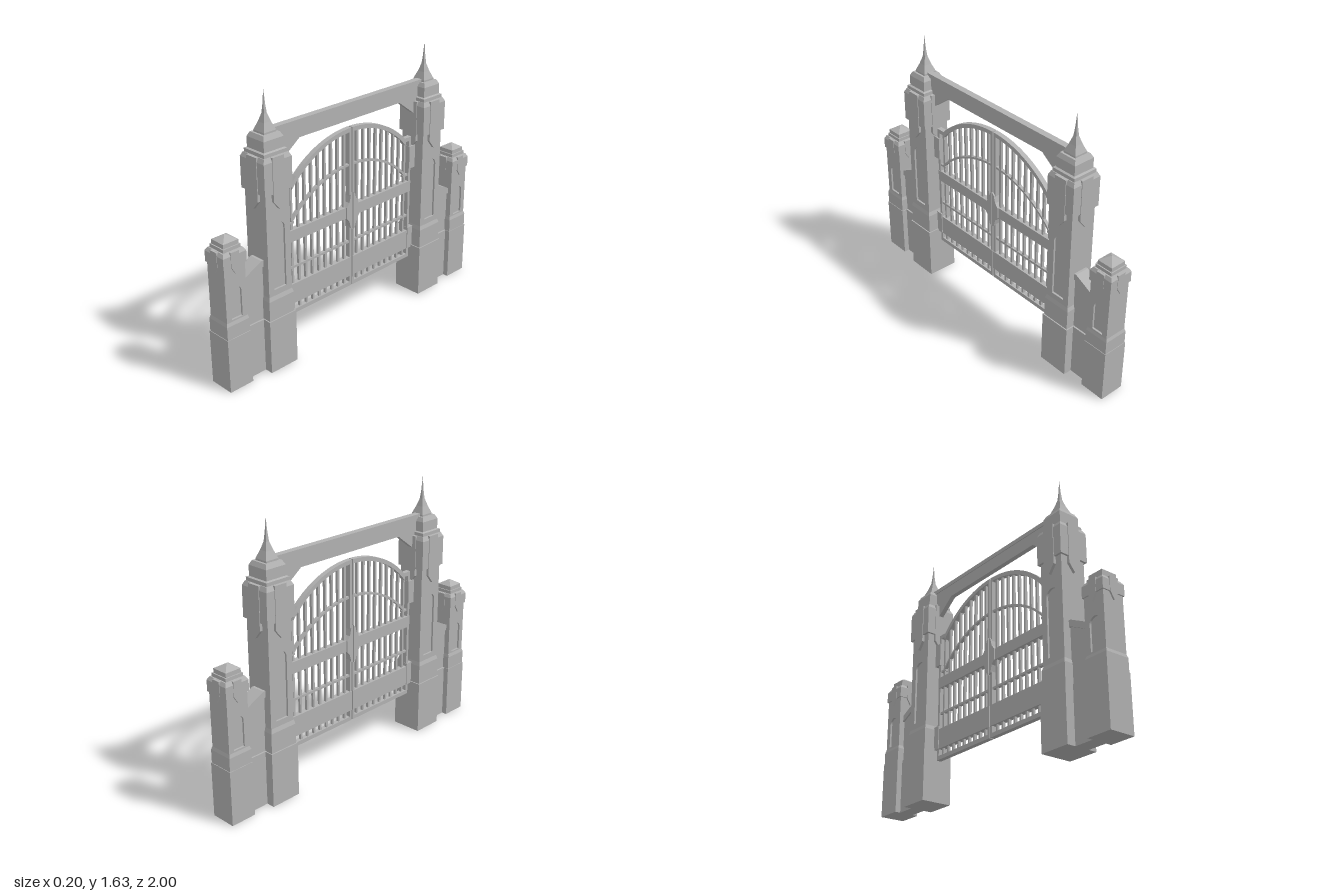
import * as THREE from 'three';

const stone = new THREE.MeshStandardMaterial({ color: 0xb2b2b2, flatShading: true });
stone.name = 'grey';

function add(parent, name, geometry) {
  const mesh = new THREE.Mesh(geometry, stone);
  mesh.name = name;
  parent.add(mesh);
  return mesh;
}

// Box given by its centre line x = 0, thickness, and z / y ranges
function bar(parent, name, thick, z0, z1, y0, y1) {
  const g = new THREE.BoxGeometry(thick, y1 - y0, Math.abs(z1 - z0));
  g.translate(0, (y0 + y1) / 2, (z0 + z1) / 2);
  return add(parent, name, g);
}

// Square turned profile from [halfWidth, y] pairs
function square(parent, name, profile) {
  const pts = profile.map(([r, y]) => new THREE.Vector2(r * Math.SQRT2, y));
  return add(parent, name, new THREE.LatheGeometry(pts, 4, Math.PI / 4));
}

const polygon = (pts) => new THREE.Shape(pts.map(([a, b]) => new THREE.Vector2(a, b)));

// Outline in (z, y) extruded symmetrically along x
function slab(parent, name, pts, thick) {
  const g = new THREE.ExtrudeGeometry(polygon(pts), { depth: thick, bevelEnabled: false });
  g.translate(0, 0, -thick / 2);
  g.rotateY(-Math.PI / 2);
  return add(parent, name, g);
}

// Plate lying on one side of a tower, from distance d0 to d1 off its axis
function plate(parent, name, shape, d0, d1, angle) {
  const g = new THREE.ExtrudeGeometry(shape, { depth: d1 - d0, bevelEnabled: false, curveSegments: 8 });
  g.translate(0, 0, d0);
  g.rotateY(angle);
  return add(parent, name, g);
}

// Shaft with an arched recess on its two broad sides
function shaft(parent, half, y0, y1, archHalf, archBottom, archTop) {
  const depth = 0.012;
  const core = new THREE.BoxGeometry(2 * (half - depth), y1 - y0, 2 * half);
  core.translate(0, (y0 + y1) / 2, 0);
  add(parent, 'shaftCore', core);
  const shape = polygon([[-half, y0], [half, y0], [half, y1], [-half, y1]]);
  const hole = new THREE.Path();
  hole.moveTo(-archHalf, archBottom);
  hole.lineTo(-archHalf, archTop - archHalf);
  hole.absarc(0, archTop - archHalf, archHalf, Math.PI, 0, true);
  hole.lineTo(archHalf, archBottom);
  hole.closePath();
  shape.holes.push(hole);
  for (const a of [Math.PI / 2, -Math.PI / 2]) plate(parent, 'archedPanel', shape, half - depth, half, a);
}

// Pointed shield on each of the four sides
function shields(parent, half, top, shoulder, tip, d0, d1) {
  const shape = polygon([[-half, top], [-half, shoulder], [0, tip], [half, shoulder], [half, top]]);
  for (let i = 0; i < 4; i++) plate(parent, 'pointedShield', shape, d0, d1, i * Math.PI / 2);
}

function mainTower() {
  const t = new THREE.Group();
  t.name = 'mainTower';
  square(t, 'plinth', [[0, 0], [0.097, 0], [0.097, 0.33], [0.09, 0.33], [0.09, 0.45], [0.083, 0.475], [0, 0.475]]);
  shaft(t, 0.083, 0.47, 1.27, 0.043, 0.51, 0.91);
  square(t, 'head', [[0.08, 1.085], [0.096, 1.085], [0.096, 1.265], [0.084, 1.29], [0.08, 1.29], [0.08, 1.31],
    [0.068, 1.315], [0.068, 1.375], [0.055, 1.40], [0.042, 1.40], [0.042, 1.41], [0, 1.41]]);
  shields(t, 0.04, 1.29, 1.04, 0.99, 0.08, 0.1);
  square(t, 'spire', [[0.042, 1.41], [0.024, 1.455], [0.01, 1.50], [0.005, 1.55], [0, 1.635]]);
  return t;
}

function smallTower() {
  const t = new THREE.Group();
  t.name = 'smallTower';
  square(t, 'plinth', [[0, 0], [0.079, 0], [0.079, 0.33], [0.076, 0.33], [0.076, 0.41], [0.07, 0.43], [0, 0.43]]);
  shaft(t, 0.07, 0.425, 0.82, 0.037, 0.44, 0.63);
  square(t, 'head', [[0.066, 0.755], [0.077, 0.755], [0.077, 0.82], [0.065, 0.84], [0.057, 0.84], [0.057, 0.86],
    [0.05, 0.86], [0.05, 0.885], [0, 0.915]]);
  shields(t, 0.027, 0.84, 0.755, 0.71, 0.066, 0.0795);
  return t;
}

// Curved rail with its crown at (0, top)
const R = 0.63;
function archRail(parent, name, s, top, width, z0, z1, thick) {
  const outer = [], inner = [], n = 14;
  for (let i = 0; i <= n; i++) {
    const z = z0 + (z1 - z0) * i / n;
    outer.push([s * z, top - R + Math.sqrt(R * R - z * z)]);
    inner.unshift([s * z, top - R + Math.sqrt((R - width) ** 2 - z * z)]);
  }
  slab(parent, name, [...outer, ...inner], thick);
}

function gateLeaf(s) {
  const g = new THREE.Group();
  g.name = 'gateLeaf';
  bar(g, 'hingePost', 0.03, s * 0.492, s * 0.51, 0.25, 1.07);
  bar(g, 'meetingPost', 0.03, s * 0.004, s * 0.02, 0.25, 1.25);
  bar(g, 'postCap', 0.03, s * 0.45, s * 0.51, 1.045, 1.07);
  bar(g, 'sideTie', 0.02, s * 0.45, s * 0.51, 0.815, 0.828);
  archRail(g, 'topArch', s, 1.262, 0.025, 0.004, 0.462, 0.03);
  archRail(g, 'innerArch', s, 1.043, 0.013, 0.004, 0.468, 0.02);
  bar(g, 'bottomRail', 0.03, s * 0.004, s * 0.51, 0.25, 0.275);
  bar(g, 'kickRail', 0.036, s * 0.004, s * 0.51, 0.317, 0.443);
  bar(g, 'thinRail', 0.02, s * 0.004, s * 0.51, 0.538, 0.552);
  bar(g, 'lockRail', 0.036, s * 0.004, s * 0.51, 0.71, 0.78);
  // upright bars, following the arch
  for (let i = 0; i < 9; i++) {
    const z = 0.053 + i * 0.0512;
    const top = 1.25 - R + Math.sqrt(R * R - z * z);
    bar(g, 'uprightBar', 0.016, s * (z - 0.007), s * (z + 0.007), 0.26, top);
  }
  // half of the central lock plate
  slab(g, 'lockPlate', [[s * 0.003, 0.865], [s * 0.018, 0.85], [s * 0.03, 0.805], [s * 0.052, 0.78],
    [s * 0.052, 0.71], [s * 0.03, 0.685], [s * 0.018, 0.64], [s * 0.003, 0.63]], 0.05);
  for (const y of [0.318, 0.865]) bar(g, 'hinge', 0.045, s * 0.49, s * 0.55, y, y + 0.145);
  return g;
}

export function createModel() {
  const model = new THREE.Group();
  model.name = 'gateway';
  for (const s of [1, -1]) {
    const main = mainTower();
    main.position.z = s * 0.623;
    const small = smallTower();
    small.position.z = s * 0.921;
    model.add(main, small, gateLeaf(s));

    // linking wall with sloping coping
    slab(model, 'linkWall', [[s * 0.68, 0], [s * 0.88, 0], [s * 0.88, 0.58], [s * 0.72, 0.655], [s * 0.68, 0.655]], 0.07);
    bar(model, 'linkWallPlinth', 0.09, s * 0.68, s * 0.88, 0, 0.33);
    slab(model, 'coping', [[s * 0.68, 0.655], [s * 0.72, 0.655], [s * 0.88, 0.575], [s * 0.88, 0.615],
      [s * 0.72, 0.695], [s * 0.68, 0.695]], 0.09);

    // bracket under the overhead beam
    slab(model, 'beamBracket', [[s * 0.39, 1.315], [s * 0.56, 1.19], [s * 0.56, 1.315]], 0.03);
  }
  bar(model, 'overheadBeam', 0.03, -0.585, 0.585, 1.31, 1.39);
  bar(model, 'beamCap', 0.04, -0.585, 0.585, 1.39, 1.415);
  return model;
}
